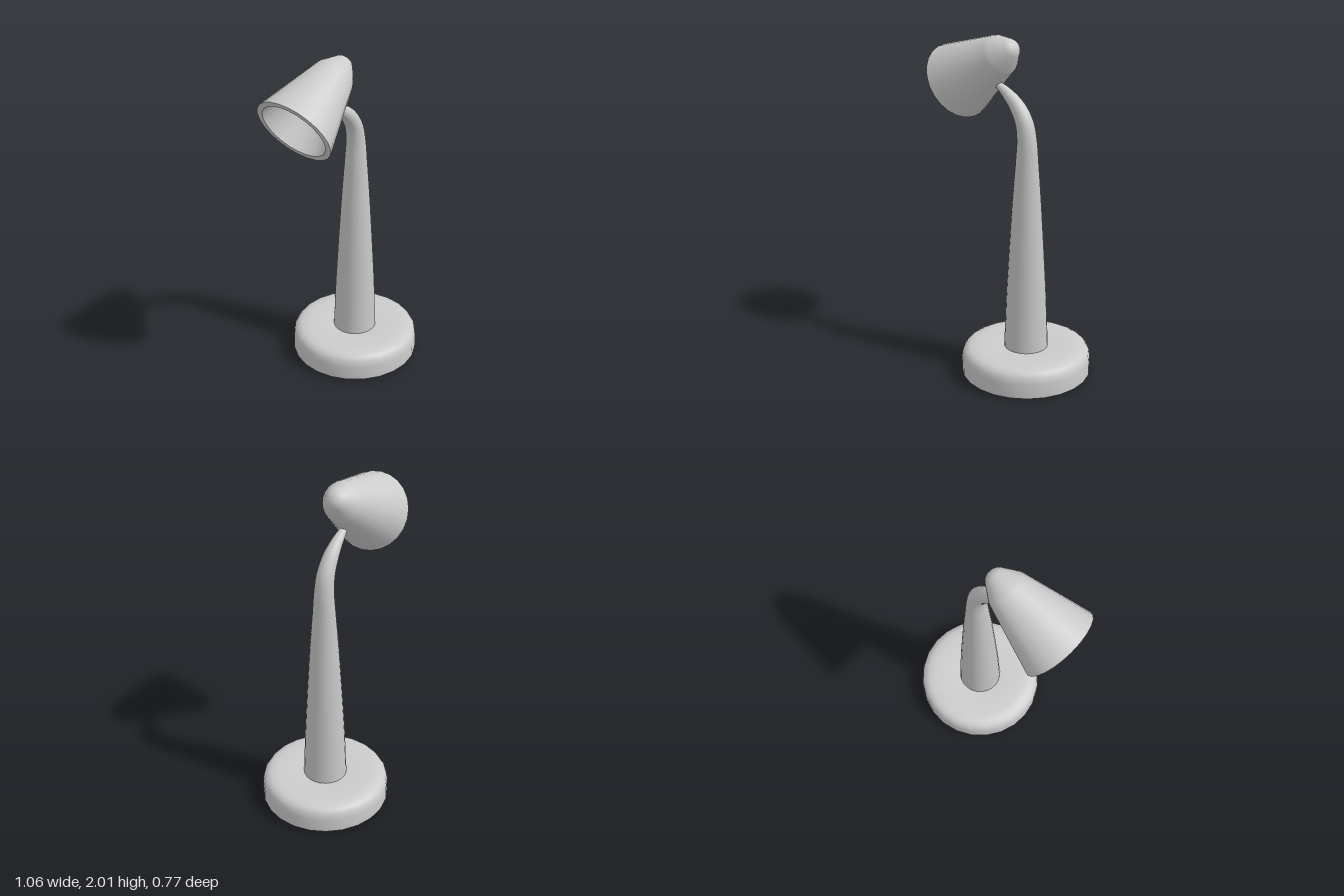
import * as THREE from 'three';
import { toCreasedNormals } from 'three/addons/utils/BufferGeometryUtils.js';

const SIDES = 24;
const BASE_X = 0.14;

function makeMesh(name, geometry) {
  const mesh = new THREE.Mesh(geometry, new THREE.MeshStandardMaterial({ color: 0xcccccc }));
  mesh.name = name;
  return mesh;
}

// Turned part from [radius, height] pairs
function lathe(name, profile) {
  const points = profile.map(([r, y]) => new THREE.Vector2(r, y));
  return makeMesh(name, toCreasedNormals(new THREE.LatheGeometry(points, SIDES), 0.75));
}

// Tube through [x, y, radius] stations, scaled ring by ring to taper
function taperedTube(stations, segments) {
  const curve = new THREE.CatmullRomCurve3(stations.map(([x, y]) => new THREE.Vector3(x, y, 0)));
  const geometry = new THREE.TubeGeometry(curve, segments, 1, SIDES, false);
  const pos = geometry.attributes.position;
  const v = new THREE.Vector3();
  for (let i = 0; i <= segments; i++) {
    const center = curve.getPointAt(i / segments);
    const t = curve.getUtoTmapping(i / segments) * (stations.length - 1);
    const k = Math.min(Math.floor(t), stations.length - 2);
    const radius = THREE.MathUtils.lerp(stations[k][2], stations[k + 1][2], t - k);
    for (let j = 0; j <= SIDES; j++) {
      const n = i * (SIDES + 1) + j;
      v.fromBufferAttribute(pos, n).sub(center).multiplyScalar(radius).add(center);
      pos.setXYZ(n, v.x, v.y, v.z);
    }
  }
  return geometry;
}

export function createModel() {
  const lamp = new THREE.Group();
  lamp.name = 'deskLamp';

  // Round foot with a softened upper edge
  const base = lathe('base', [
    [0, 0], [0.37, 0.005], [0.385, 0.015], [0.385, 0.1], [0.379, 0.137],
    [0.363, 0.16], [0.335, 0.173], [0.29, 0.177], [0.15, 0.175], [0.12, 0.17], [0, 0.17],
  ]);
  base.position.x = BASE_X;
  lamp.add(base);

  // Tapering stem that bends over towards the shade
  const stem = [
    [BASE_X, 0.16, 0.131], [BASE_X, 0.5, 0.118], [BASE_X, 0.8, 0.101], [BASE_X, 1.1, 0.082],
    [BASE_X, 1.3, 0.067], [0.138, 1.44, 0.057], [0.118, 1.54, 0.052], [0.062, 1.625, 0.045],
    [-0.02, 1.69, 0.032], [-0.075, 1.72, 0.023], [-0.11, 1.733, 0.014],
  ];
  lamp.add(makeMesh('stem', taperedTube(stem, 48)));

  // Hollow shade: inner wall down to the rim, then outer wall up to the blunt tip
  const shade = lathe('shade', [
    [0, 0.45], [0.05, 0.44], [0.09, 0.39], [0.198, 0],
    [0.231, 0], [0.12, 0.4], [0.113, 0.418], [0.058, 0.502], [0.045, 0.517], [0.026, 0.527], [0, 0.531],
  ]);
  shade.position.set(-0.415, 1.7, 0);
  shade.rotation.z = -Math.PI / 3;
  lamp.add(shade);

  return lamp;
}
